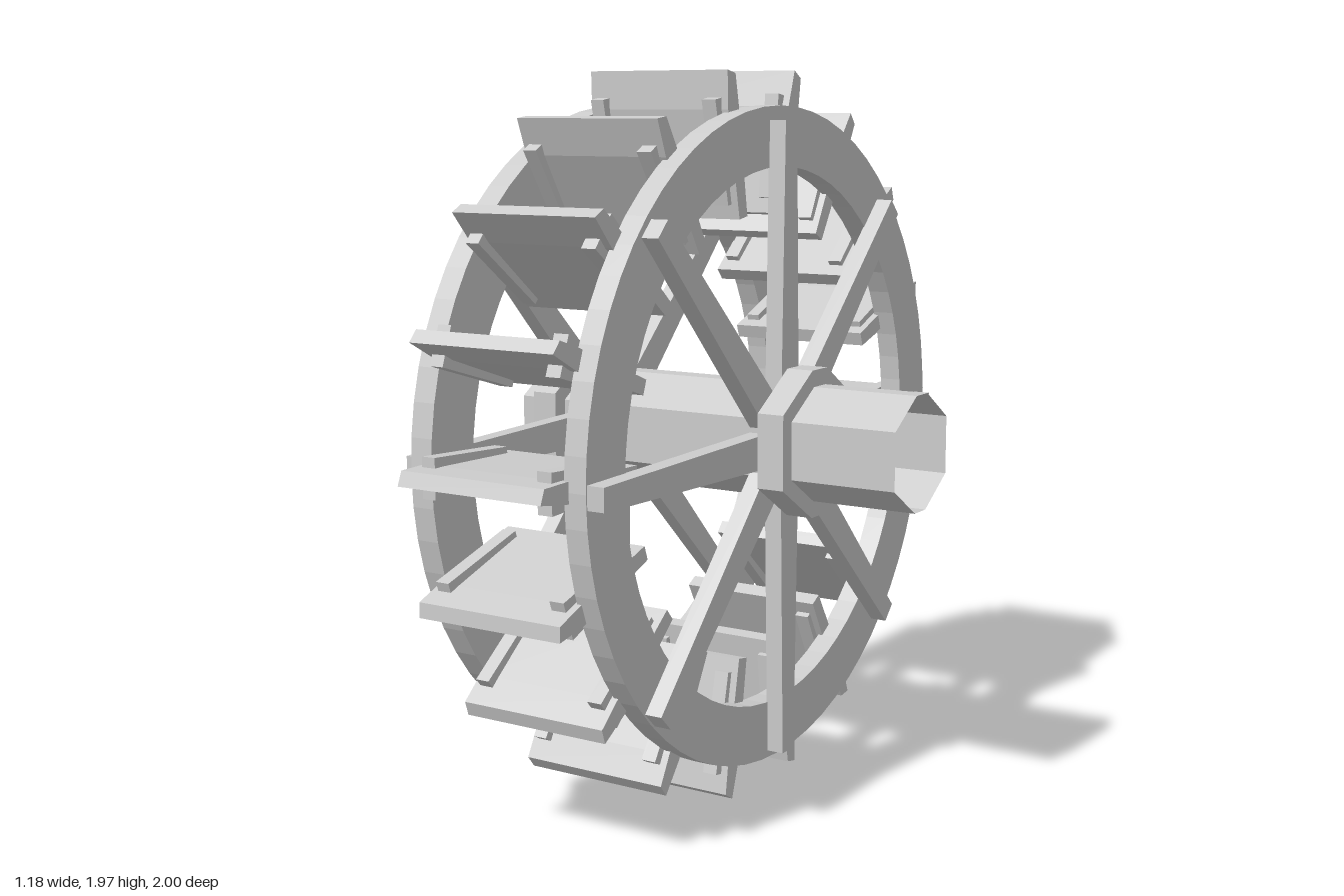
import * as THREE from 'three';

const CENTRE_Y = 0.995;

export function createModel() {
  const model = new THREE.Group();
  model.name = 'waterWheel';
  const material = new THREE.MeshStandardMaterial({ color: 0xcccccc, flatShading: true });
  const openMaterial = material.clone();
  openMaterial.side = THREE.DoubleSide;

  // Parts are drawn in the wheel's plane and extruded along its axle.
  const wheel = new THREE.Group();
  wheel.name = 'wheel';
  wheel.position.y = CENTRE_Y;
  wheel.rotation.y = Math.PI / 2;
  model.add(wheel);

  function addSlab(parent, name, shape, from, to, mat = material) {
    const geometry = new THREE.ExtrudeGeometry(shape, {
      depth: to - from, bevelEnabled: false, curveSegments: 32,
    });
    geometry.translate(0, 0, from);
    const mesh = new THREE.Mesh(geometry, mat);
    mesh.name = name;
    parent.add(mesh);
    return mesh;
  }

  const polygon = (points) => new THREE.Shape(points.map(([x, y]) => new THREE.Vector2(x, y)));

  // Bar pointing outwards, with its own width at each end
  const bar = (r0, w0, r1, w1) => polygon([
    [r0, -w0 / 2], [r1, -w1 / 2], [r1, w1 / 2], [r0, w0 / 2],
  ]);

  // Eight-sided outline of the axle and its collars
  const octagon = (s) => polygon([
    [0.195, -0.1], [0.195, 0.1], [0.04, 0.2], [-0.04, 0.2],
    [-0.195, 0.1], [-0.195, -0.1], [-0.04, -0.2], [0.04, -0.2],
  ].map(([x, y]) => [x * s, y * s]));

  // Two flat rims
  const rim = new THREE.Shape().absarc(0, 0, 0.893, 0, Math.PI * 2, false);
  rim.holes.push(new THREE.Path().absarc(0, 0, 0.733, 0, Math.PI * 2, true));
  addSlab(wheel, 'rightRim', rim, -0.37, -0.305);
  addSlab(wheel, 'leftRim', rim, 0.097, 0.16);

  // Eight tapered spokes on the outer face of each rim
  const spoke = bar(0.08, 0.095, 0.863, 0.06);
  const sides = [
    { name: 'rightSpoke', from: -0.41, to: -0.365, x: 0.0, y: 0.003 },
    { name: 'leftSpoke', from: 0.158, to: 0.208, x: -0.025, y: -0.008 },
  ];
  for (const side of sides) {
    const spokes = new THREE.Group();
    spokes.name = side.name + 's';
    spokes.position.set(side.x, side.y, 0);
    for (let i = 0; i < 8; i++) {
      addSlab(spokes, side.name, spoke, side.from, side.to).rotation.z = i * Math.PI / 4;
    }
    wheel.add(spokes);
  }

  // Eighteen paddles, each a board held by two arms
  const board = polygon([
    [0.61, -0.02], [0.9, -0.027], [0.985, -0.025], [1.0, 0.012], [0.9, 0.027], [0.61, 0.02],
  ]);
  const arm = bar(0.65, 0.075, 0.93, 0.105);
  for (let i = 0; i < 18; i++) {
    const paddle = new THREE.Group();
    paddle.name = 'paddle';
    paddle.rotation.z = i * Math.PI / 9;
    addSlab(paddle, 'paddleBoard', board, -0.32, 0.11);
    addSlab(paddle, 'paddleArm', arm, -0.302, -0.262);
    addSlab(paddle, 'paddleArm', arm, 0.048, 0.09);
    wheel.add(paddle);
  }

  // Collars on both sides of the wheel
  addSlab(wheel, 'rightCollar', octagon(1), -0.525, -0.45);
  addSlab(wheel, 'leftCollar', octagon(1), 0.208, 0.285);

  // Axle: solid up to the left collar, then an open sleeve
  addSlab(wheel, 'axle', octagon(0.775), -0.595, 0.25);
  const corners = octagon(0.775).getPoints();
  const positions = [];
  corners.forEach((a, i) => {
    const b = corners[(i + 1) % corners.length];
    if (a.equals(b)) return;
    positions.push(a.x, a.y, 0.25, b.x, b.y, 0.25, b.x, b.y, 0.587);
    positions.push(a.x, a.y, 0.25, b.x, b.y, 0.587, a.x, a.y, 0.587);
  });
  const sleeveGeometry = new THREE.BufferGeometry();
  sleeveGeometry.setAttribute('position', new THREE.Float32BufferAttribute(positions, 3));
  sleeveGeometry.computeVertexNormals();
  const sleeve = new THREE.Mesh(sleeveGeometry, openMaterial);
  sleeve.name = 'openAxleEnd';
  wheel.add(sleeve);

  return model;
}
